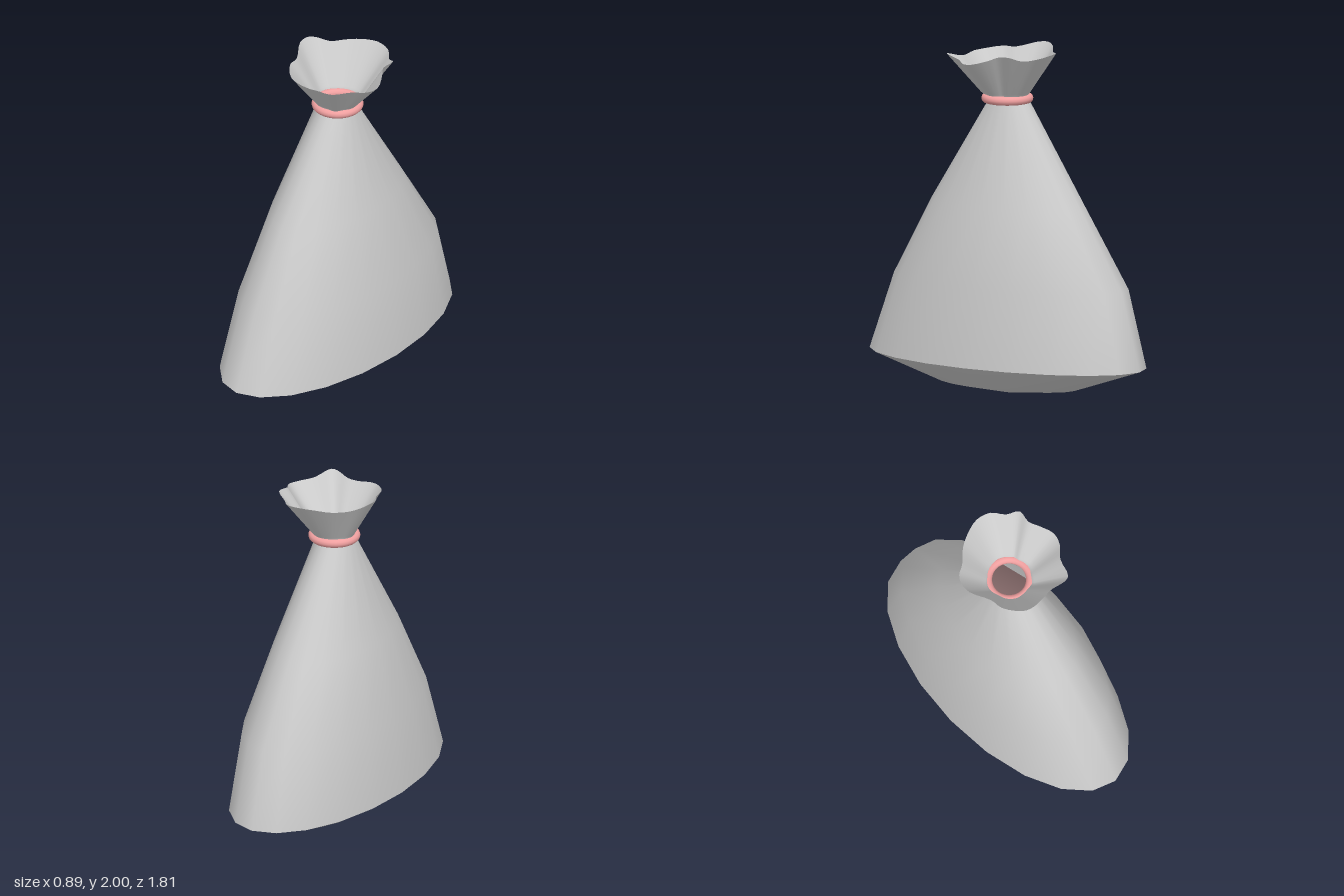
import * as THREE from 'three';

const SIDES = 20;

// Skin a stack of closed rings (arrays of Vector3, bottom to top) with smooth normals.
function loft(rings) {
  const n = rings[0].length;
  const index = [];
  for (let i = 0; i < rings.length - 1; i++) {
    for (let j = 0; j < n; j++) {
      const a = i * n + j, b = i * n + (j + 1) % n;
      index.push(a, b, b + n, a, b + n, a + n);
    }
  }
  const geo = new THREE.BufferGeometry().setFromPoints(rings.flat());
  geo.setIndex(index);
  geo.computeVertexNormals();
  return geo;
}

// Oval ring: half widths rx and rz, shifted to centre cz along z.
function oval([y, rx, rz, cz = 0]) {
  return Array.from({ length: SIDES }, (_, j) => {
    const t = (j / SIDES) * Math.PI * 2;
    return new THREE.Vector3(Math.sin(t) * rx, y, cz + Math.cos(t) * rz);
  });
}

export function createModel() {
  const group = new THREE.Group();
  const cloth = new THREE.MeshStandardMaterial({ color: 0xcccccc, side: THREE.DoubleSide });
  const pink = new THREE.MeshStandardMaterial({ color: 0xf0a0a0 });
  const dusky = new THREE.MeshStandardMaterial({ color: 0xa08080 });

  const add = (name, geo, mat) => {
    const mesh = new THREE.Mesh(geo, mat);
    mesh.name = name;
    group.add(mesh);
    return mesh;
  };

  // Sack sides, tapering from a wide oval base to the tied neck
  add('sackBody', loft([
    [0.2, 0.445, 0.907],
    [0.65, 0.4, 0.763, -0.023],
    [1.1, 0.288, 0.497, -0.005],
    [1.7, 0.115, 0.115, -0.005],
  ].map(oval)), cloth);

  // Shallow bulging underside
  add('sackBottom', loft([
    [0, 0, 0],
    [0.05, 0.222, 0.457],
    [0.2, 0.445, 0.907],
  ].map(oval)), cloth);

  // Filling, seen only through the neck
  add('contents', loft([
    [0.2, 0.41, 0.86],
    [0.62, 0.37, 0.71, -0.02],
    [0.7, 0, 0],
  ].map(oval)), dusky);

  // Ruffled rim of the collar: front, left side, back, right side
  const rim = new THREE.CatmullRomCurve3([
    [0.02, 1.935, 0.275], [0.09, 1.94, 0.27], [0.17, 1.96, 0.29], [0.21, 1.965, 0.28],
    [0.25, 1.945, 0.17], [0.31, 1.935, 0.10], [0.33, 1.94, 0.03], [0.29, 1.965, -0.06],
    [0.26, 1.985, -0.11], [0.265, 1.99, -0.19], [0.20, 1.965, -0.235], [0.14, 1.975, -0.30],
    [0.05, 1.985, -0.32], [-0.05, 1.98, -0.29], [-0.12, 1.97, -0.25], [-0.19, 1.965, -0.18],
    [-0.25, 1.985, -0.14], [-0.28, 2.0, -0.09], [-0.28, 1.995, -0.02], [-0.215, 1.965, 0.09],
    [-0.20, 1.965, 0.17], [-0.12, 1.95, 0.26], [-0.06, 1.945, 0.28],
  ].map(p => new THREE.Vector3(...p)), true).getPoints(69).slice(0, -1);

  // Each collar ring follows the rim's own angles, rounder towards the neck
  const collarRing = (y, radius, pleat) => rim.map(p => {
    const r = Math.hypot(p.x, p.z);
    const k = radius * (1 + pleat * (r / 0.29 - 1)) / r;
    return new THREE.Vector3(p.x * k + 0.005, y, p.z * k);
  });
  add('collar', loft([
    collarRing(1.69, 0.118, 0),
    collarRing(1.72, 0.118, 0.2),
    collarRing(1.745, 0.136, 0.6),
    rim,
  ]), cloth);

  // Round tie around the neck
  const tie = add('neckTie', new THREE.TorusGeometry(0.123, 0.026, 12, 40), pink);
  tie.rotation.x = Math.PI / 2;
  tie.position.set(0.01, 1.708, -0.002);

  return group;
}
